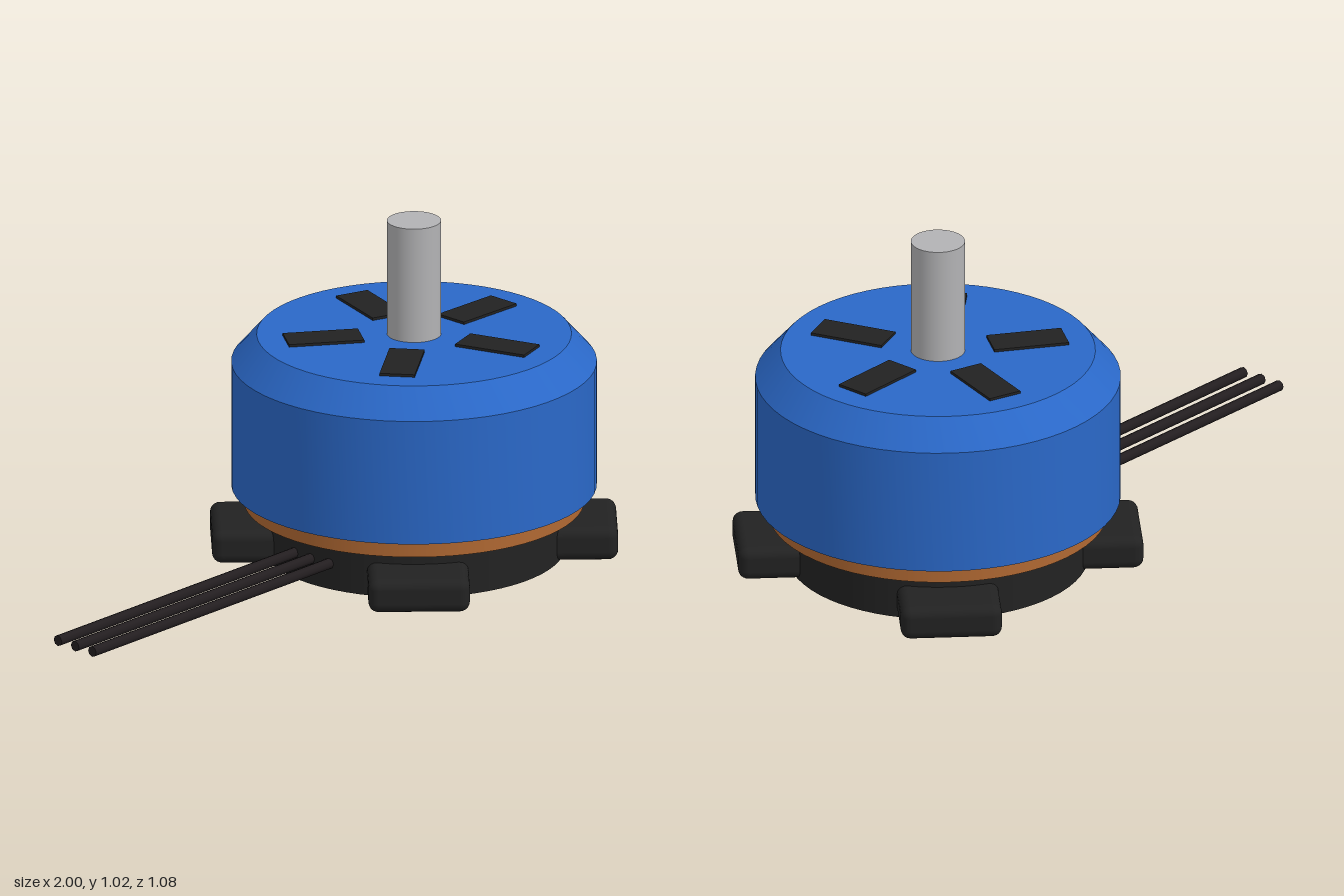
import * as THREE from 'three';
import { toCreasedNormals } from 'three/addons/utils/BufferGeometryUtils.js';
import { RoundedBoxGeometry } from 'three/addons/geometries/RoundedBoxGeometry.js';

const material = (name, color) => {
  const m = new THREE.MeshStandardMaterial({ color });
  m.name = name;
  return m;
};

export function createModel() {
  const blue = material('blue anodised', 0x2a68c8);
  const black = material('black', 0x222222);
  const wireBlack = material('wire black', 0x231e20);
  const copper = material('copper', 0xb06832);
  const steel = material('steel', 0xb2b2b4);

  const model = new THREE.Group();
  model.name = 'brushlessMotor';
  const motor = new THREE.Group();
  motor.name = 'motorBody';
  motor.position.x = 0.455;
  model.add(motor);

  const add = (parent, name, geometry, mat, x = 0, y = 0, z = 0) => {
    const mesh = new THREE.Mesh(geometry, mat);
    mesh.name = name;
    mesh.position.set(x, y, z);
    parent.add(mesh);
    return mesh;
  };
  const disc = (name, r, y0, y1, mat) =>
    add(motor, name, new THREE.CylinderGeometry(r, r, y1 - y0, 64), mat, 0, (y0 + y1) / 2);

  // Fixed base, windings and shaft
  disc('base', 0.445, 0, 0.15, black);
  disc('stator', 0.503, 0.147, 0.58, copper);
  disc('shaft', 0.08, 0.6, 1.025, steel);

  // Rotating bell: a hollow cup with a chamfered shoulder
  const profile = [
    [0, 0.6], [0.524, 0.57], [0.524, 0.2], [0.54, 0.2],
    [0.54, 0.585], [0.465, 0.67], [0, 0.67],
  ].map(([r, y]) => new THREE.Vector2(r, y));
  add(motor, 'bell', toCreasedNormals(new THREE.LatheGeometry(profile, 64), 0.5), blue);

  // Magnets lining the inside of the bell
  const magnets = 14;
  for (let i = 0; i < magnets; i++) {
    const a = (i / magnets) * Math.PI * 2;
    const half = Math.PI / magnets * 0.85;
    const shape = new THREE.Shape();
    shape.absarc(0, 0, 0.526, a - half, a + half, false);
    shape.absarc(0, 0, 0.508, a + half, a - half, true);
    const geometry = new THREE.ExtrudeGeometry(shape, { depth: 0.34, bevelEnabled: false, curveSegments: 6 });
    geometry.rotateX(-Math.PI / 2);
    add(motor, 'magnet', geometry, black, 0, 0.21, 0);
  }

  // Vent slots on the bell's top
  for (let i = 0; i < 5; i++) {
    const a = (i / 5) * Math.PI * 2;
    const slot = add(motor, 'ventSlot', new THREE.BoxGeometry(0.226, 0.009, 0.105), black,
      Math.cos(a) * 0.272, 0.6735, -Math.sin(a) * 0.272);
    slot.rotation.y = a;
  }

  // Four mounting lugs on the diagonals
  for (let i = 0; i < 4; i++) {
    const a = Math.PI / 4 + i * Math.PI / 2;
    const lug = add(motor, 'mountingLug', new RoundedBoxGeometry(0.24, 0.102, 0.3, 3, 0.03), black,
      Math.cos(a) * 0.48, 0.053, -Math.sin(a) * 0.48);
    lug.rotation.y = a;
  }

  // Three lead wires sloping gently away from the base
  for (const z of [-0.07, 0, 0.07]) {
    const path = new THREE.LineCurve3(new THREE.Vector3(0.06, 0.08, z), new THREE.Vector3(-1, 0.064, z));
    const length = path.getLength();
    const wire = add(model, 'leadWire', new THREE.CylinderGeometry(0.0165, 0.0165, length, 8), wireBlack);
    wire.position.copy(path.getPoint(0.5));
    wire.quaternion.setFromUnitVectors(new THREE.Vector3(0, 1, 0), path.getTangent(0));
  }

  return model;
}
